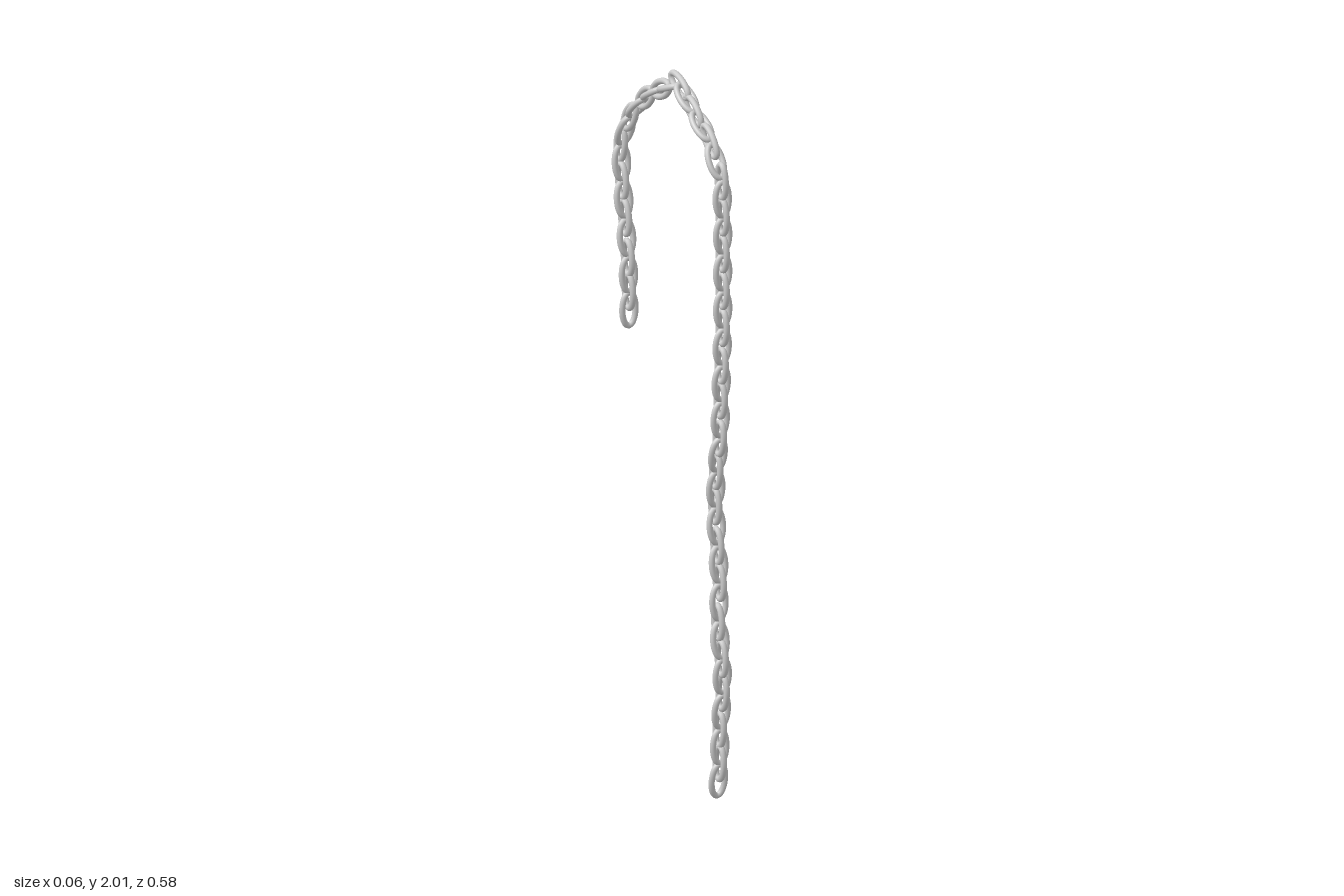
import * as THREE from 'three';

// Centres of every second link along the hanging chain: [z, y, x offset, tilt override]
const KNOTS = [
  [0.24, 0.105], [0.24, 0.2], [0.255, 0.31], [0.26, 0.41, -0.006], [0.245, 0.51, -0.008],
  [0.24, 0.62], [0.228, 0.72], [0.217, 0.83], [0.222, 0.93], [0.24, 1.03],
  [0.245, 1.14], [0.25, 1.24], [0.255, 1.35], [0.255, 1.455], [0.255, 1.56],
  [0.255, 1.665], [0.25, 1.765, 0, -0.05],
  [0.19, 1.86], [0.105, 1.92], [0.035, 1.97, 0, -1.15],
  [-0.06, 1.93], [-0.14, 1.88], [-0.22, 1.8],
  [-0.26, 1.71, -0.004], [-0.25, 1.61, -0.006], [-0.235, 1.51, -0.006],
  [-0.22, 1.4, -0.006], [-0.215, 1.305, -0.006],
];
const START = [0.233, 0.055];
const END = [-0.215, 1.255, -0.006];

// One oval link of round wire, long axis on y, lying in the xy plane
function linkGeometry(halfLength, halfWidth, wire) {
  const points = [];
  for (let i = 0; i < 20; i++) {
    const a = (i / 20) * Math.PI * 2;
    points.push(new THREE.Vector3(Math.cos(a) * halfWidth, Math.sin(a) * halfLength, 0));
  }
  const oval = new THREE.CatmullRomCurve3(points, true);
  return new THREE.TubeGeometry(oval, 32, wire, 10, true);
}

export function createModel() {
  const chain = new THREE.Group();
  chain.name = 'chain';
  const material = new THREE.MeshStandardMaterial({ color: 0xcccccc });
  const geometry = linkGeometry(0.047, 0.0208, 0.0085);

  // Crossing links sit halfway between neighbouring knots
  const centres = [START];
  KNOTS.forEach((k, i) => {
    centres.push(k);
    const n = KNOTS[i + 1];
    if (n) centres.push([(k[0] + n[0]) / 2, (k[1] + n[1]) / 2, ((k[2] || 0) + (n[2] || 0)) / 2]);
  });
  centres.push(END);

  // Each link follows the chain's direction and is turned a quarter from the last
  centres.forEach(([z, y, x = 0, tilt], i) => {
    const before = centres[Math.max(i - 1, 0)];
    const after = centres[Math.min(i + 1, centres.length - 1)];
    const angle = tilt ?? Math.atan2(after[0] - before[0], after[1] - before[1]);
    const link = new THREE.Mesh(geometry, material);
    link.name = 'link' + (i + 1);
    link.position.set(x, y, z);
    link.rotation.set(angle, i % 2 ? Math.PI / 2 : 0, 0);
    chain.add(link);
  });
  return chain;
}
